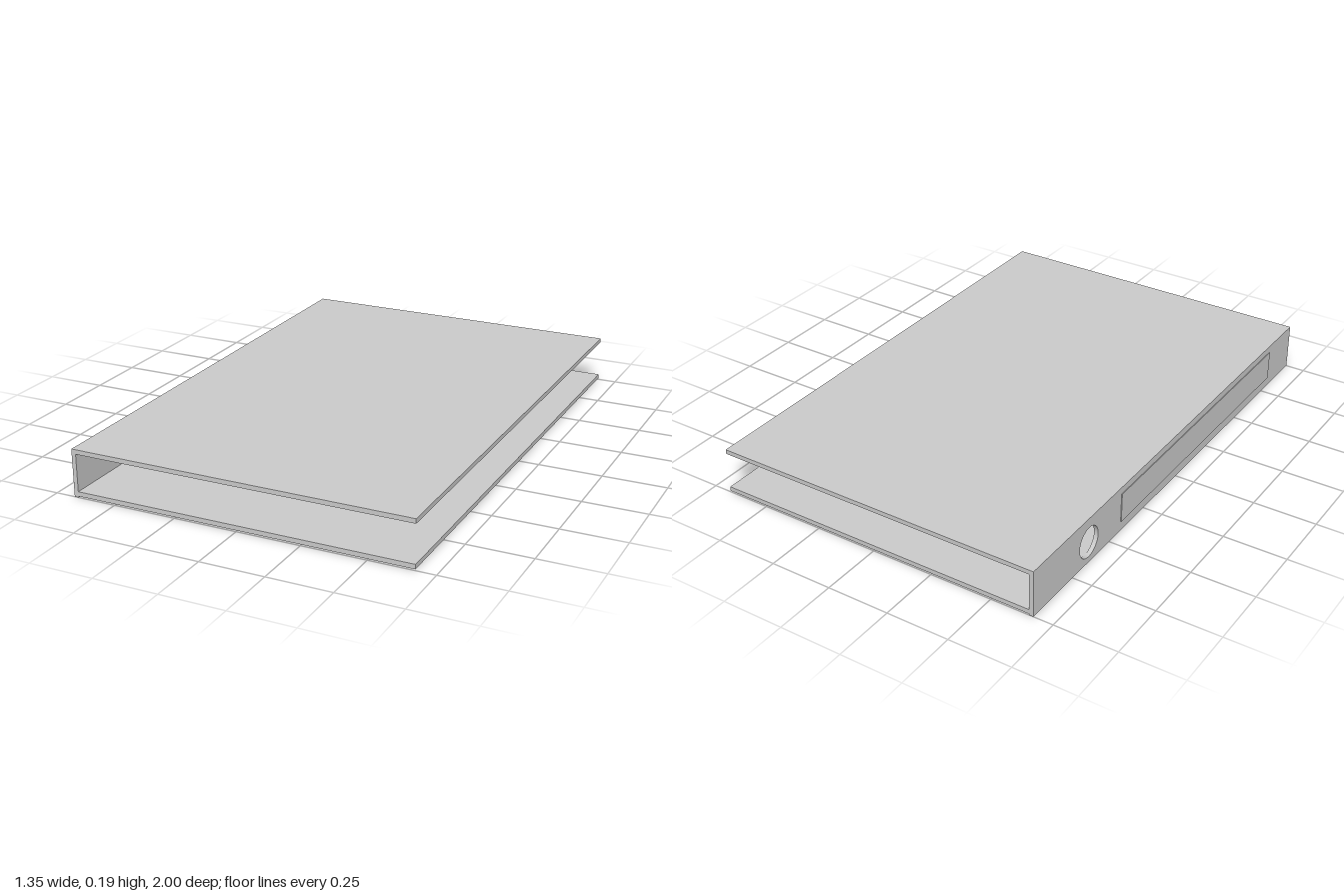
import * as THREE from 'three';

const material = new THREE.MeshStandardMaterial({ color: 0xcccccc });

// Box given by its minimum and maximum corners
function slab(name, min, max) {
  const size = max.map((v, i) => v - min[i]);
  const mesh = new THREE.Mesh(new THREE.BoxGeometry(...size), material);
  mesh.position.set(...max.map((v, i) => (v + min[i]) / 2));
  mesh.name = name;
  return mesh;
}

export function createModel() {
  const group = new THREE.Group();
  group.name = 'binder';
  const outer = -0.672, inner = -0.655, edge = 0.675;

  // Upper and lower cover boards
  group.add(slab('lowerCover', [inner, 0.005, -1], [edge, 0.023, 1]));
  group.add(slab('upperCover', [inner, 0.17, -1], [edge, 0.188, 1]));

  // Spine board with a round finger hole, drawn in z and y
  const shape = new THREE.Shape();
  shape.moveTo(-1, 0);
  shape.lineTo(1, 0);
  shape.lineTo(1, 0.188);
  shape.lineTo(-1, 0.188);
  shape.closePath();
  const hole = new THREE.Path();
  hole.absarc(-0.642, 0.086, 0.062, 0, Math.PI * 2, true);
  shape.holes.push(hole);
  const spineGeometry = new THREE.ExtrudeGeometry(shape, {
    depth: inner - outer, bevelEnabled: false, curveSegments: 32,
  });
  spineGeometry.rotateY(-Math.PI / 2);
  spineGeometry.translate(inner, 0, 0);
  const spine = new THREE.Mesh(spineGeometry, material);
  spine.name = 'spine';
  group.add(spine);

  // Thin blank label on the outside of the spine
  group.add(slab('spineLabel', [-0.675, 0.04, -0.42], [outer, 0.16, 0.8]));

  return group;
}
